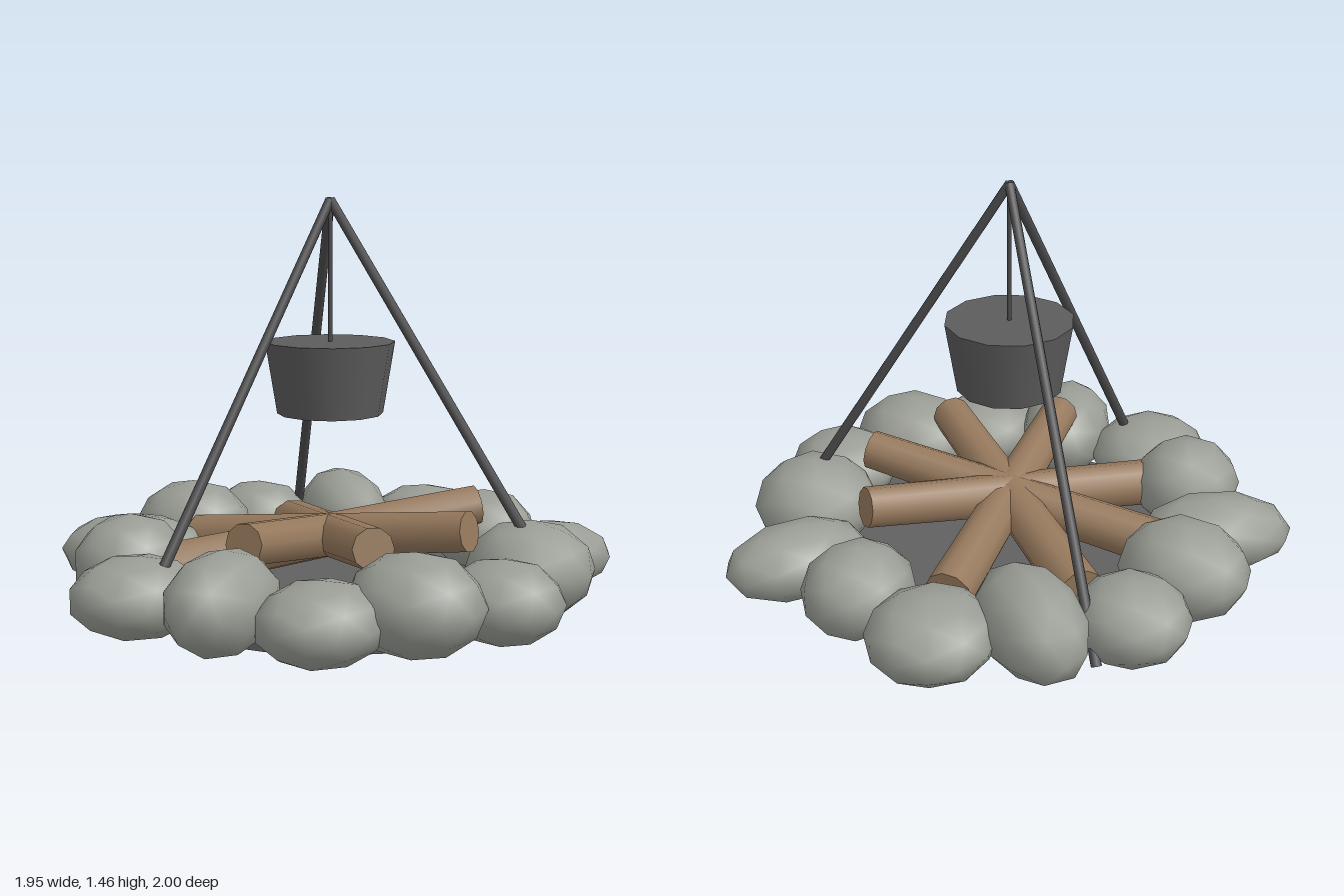
import * as THREE from 'three';

const mat = (name, color) => {
  const m = new THREE.MeshStandardMaterial({ color });
  m.name = name;
  return m;
};

export function createModel() {
  const model = new THREE.Group();
  model.name = 'campfire';
  const stoneGrey = mat('stoneGrey', 0x9a9d95);
  const bark = mat('barkBrown', 0x96795d);
  const ash = mat('ashGrey', 0x606060);
  const potIron = mat('potIron', 0x5c5c5c);
  const poleIron = mat('poleIron', 0x4c4c4e);

  const add = (name, geometry, material, parent = model) => {
    const mesh = new THREE.Mesh(geometry, material);
    mesh.name = name;
    parent.add(mesh);
    return mesh;
  };

  // Round bar between two points, radius r0 at a and r1 at b
  const bar = (name, a, b, r0, r1, sides, material, parent) => {
    const from = new THREE.Vector3(...a), to = new THREE.Vector3(...b);
    const dir = to.clone().sub(from);
    const mesh = add(name, new THREE.CylinderGeometry(r1, r0, dir.length(), sides), material, parent);
    mesh.position.copy(from).add(to).multiplyScalar(0.5);
    mesh.quaternion.setFromUnitVectors(new THREE.Vector3(0, 1, 0), dir.normalize());
    return mesh;
  };

  // Ash bed
  add('ashBed', new THREE.CylinderGeometry(0.69, 0.69, 0.04, 32), ash).position.y = 0.05;

  // Ring of stones: x, z, half sizes x / y / z, yaw
  const ring = new THREE.Group();
  ring.name = 'stoneRing';
  model.add(ring);
  const stone = new THREE.IcosahedronGeometry(1, 1);
  [
    [-0.20, -0.77, 0.225, 0.145, 0.23, 0],
    [0.15, -0.705, 0.195, 0.165, 0.21, 0],
    [0.48, -0.63, 0.27, 0.135, 0.175, 1.05],
    [0.64, -0.32, 0.23, 0.175, 0.23, 0.2],
    [0.76, 0, 0.21, 0.145, 0.205, 0],
    [0.635, 0.305, 0.24, 0.175, 0.225, 0],
    [0.47, 0.575, 0.21, 0.14, 0.235, 0],
    [0.155, 0.705, 0.26, 0.175, 0.18, -1.2],
    [-0.20, 0.76, 0.23, 0.14, 0.24, 0],
    [-0.47, 0.555, 0.2, 0.175, 0.21, 0],
    [-0.70, 0.34, 0.28, 0.14, 0.18, 0.65],
    [-0.74, 0, 0.24, 0.175, 0.215, 0],
    [-0.715, -0.34, 0.21, 0.15, 0.205, 0],
    [-0.465, -0.57, 0.28, 0.175, 0.175, -0.6],
  ].forEach(([x, z, sx, sy, sz, yaw], i) => {
    const s = add('stone' + (i + 1), stone, stoneGrey, ring);
    s.position.set(x, sy + 0.012, z);
    s.scale.set(sx, sy, sz);
    s.rotation.y = yaw;
  });

  // Four crossing logs, each leaning from a low thick end to a raised thin end
  const logs = new THREE.Group();
  logs.name = 'logs';
  logs.position.x = -0.015;
  model.add(logs);
  [-57, -11, 33, 78.5].forEach((deg, i) => {
    const a = THREE.MathUtils.degToRad(deg), c = Math.cos(a), s = Math.sin(a);
    bar('log' + (i + 1), [-0.58 * c, 0.18, -0.58 * s], [0.56 * c, 0.34, 0.56 * s],
      0.087, 0.073, 10, bark, logs);
  });

  // Tripod poles meeting at the apex
  const apex = [-0.015, 1.465, 0];
  [[0.79, 0.07, -0.34], [-0.69, 0.07, -0.525], [-0.117, 0.07, 0.84]].forEach((foot, i) =>
    bar('tripodLeg' + (i + 1), foot, apex, 0.019, 0.017, 8, poleIron));

  // Hanging rod and pot
  bar('hangingRod', [-0.015, 0.95, 0], apex, 0.008, 0.008, 8, poleIron);
  const pot = add('pot', new THREE.CylinderGeometry(0.232, 0.19, 0.258, 12), potIron);
  pot.position.set(-0.015, 0.836, 0);
  pot.rotation.y = Math.PI / 12;

  return model;
}
